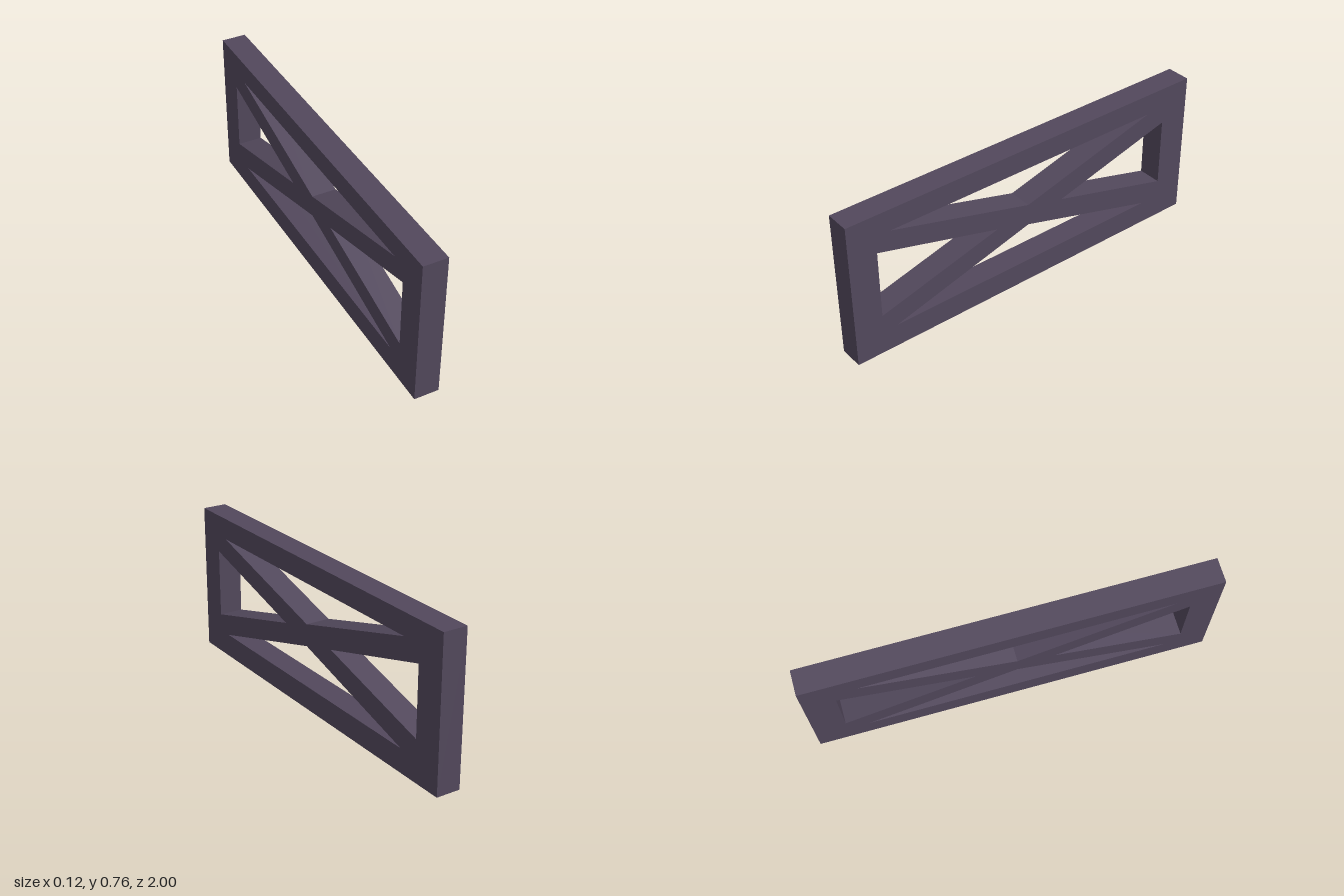
import * as THREE from 'three';

const DEPTH = 0.124;

export function createModel() {
  const group = new THREE.Group();
  group.name = 'crossBracedPanel';
  const points = (list) => list.map(([z, y]) => new THREE.Vector2(z, y));

  // Outer frame outline, drawn as (z, y)
  const panel = new THREE.Shape(points([[-1, 0], [1, 0], [1, 0.765], [-1, 0.765]]));

  // Four triangular openings that leave the rails, posts and diagonal braces
  const openings = [
    [[0.78, 0.655], [-0.74, 0.655], [0.015, 0.447]],
    [[0.78, 0.121], [-0.74, 0.121], [0.015, 0.334]],
    [[0.855, 0.568], [0.855, 0.213], [0.2, 0.39]],
    [[-0.845, 0.568], [-0.845, 0.213], [-0.19, 0.39]],
  ];
  for (const corners of openings) panel.holes.push(new THREE.Path(points(corners)));

  // Extrude through the thickness, then turn so the panel runs along z
  const geometry = new THREE.ExtrudeGeometry(panel, { depth: DEPTH, bevelEnabled: false });
  geometry.translate(0, 0, -DEPTH / 2);
  geometry.rotateY(-Math.PI / 2);

  const material = new THREE.MeshStandardMaterial({ color: 0x52485c });
  const mesh = new THREE.Mesh(geometry, material);
  mesh.name = 'bracedFrame';
  group.add(mesh);
  return group;
}
